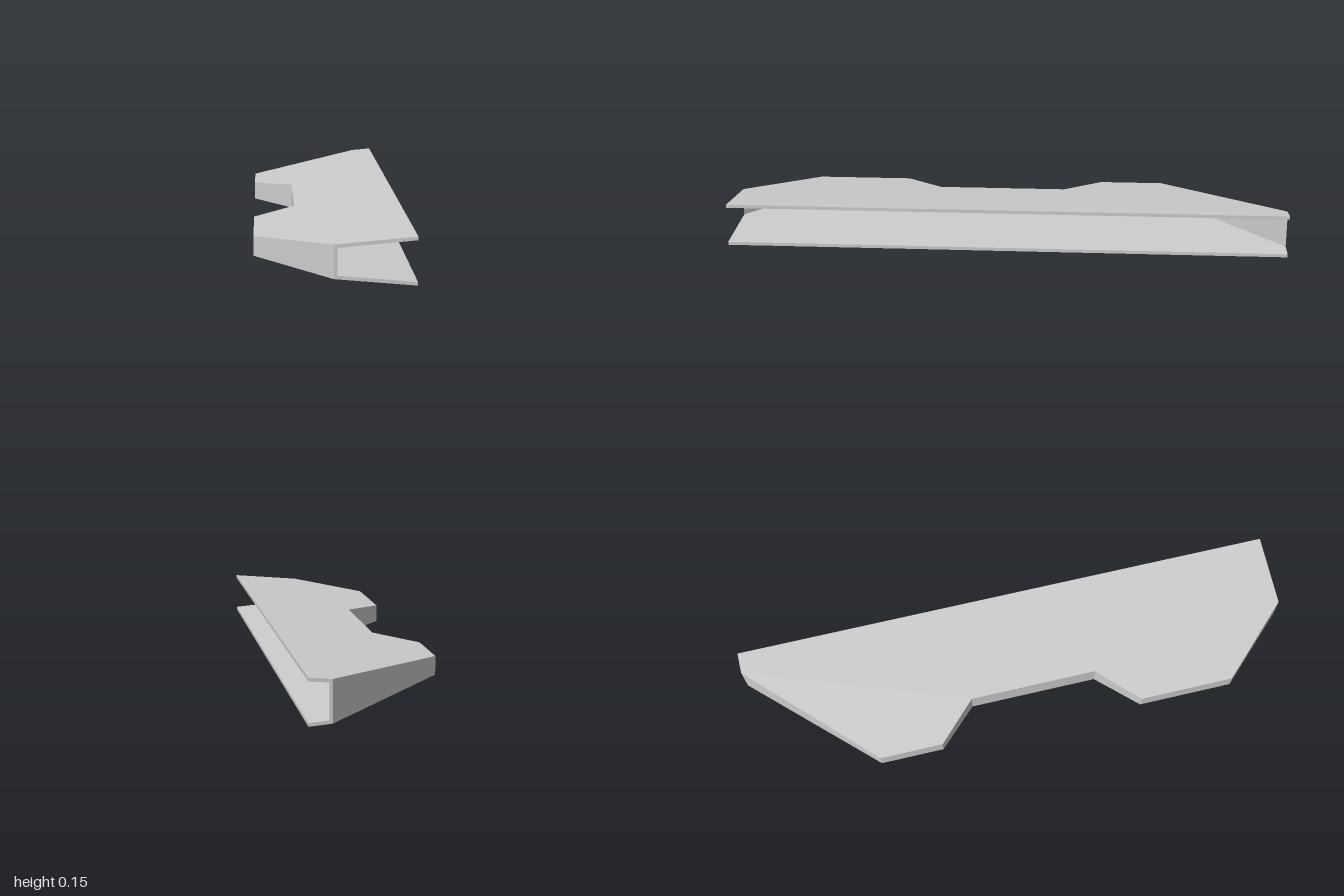
import * as THREE from 'three';

const HEIGHT = 0.152, SKIN = 0.0115, WALL = 0.011;

// Stepped edge of the hull in plan, as [x, z] from back to front
const EDGE = [
  [0.175, -1], [-0.25, -0.57], [-0.25, -0.34], [-0.11, -0.2],
  [-0.11, 0.265], [-0.25, 0.405], [-0.25, 0.75], [-0.006, 1],
];

// The hull tapers towards -x: height of the underside at a given x
const under = (x) => 0.044 * (0.25 - x) / 0.5;
const over = (x) => HEIGHT - under(x);

// Upright prism over a plan outline, with sloping bottom and top
function slab(name, outline, low, high, material) {
  const shape = new THREE.Shape(outline.map(([x, z]) => new THREE.Vector2(x, -z)));
  const geometry = new THREE.ExtrudeGeometry(shape, { depth: 1, bevelEnabled: false });
  geometry.rotateX(-Math.PI / 2);
  const p = geometry.attributes.position;
  for (let i = 0; i < p.count; i++) {
    const x = p.getX(i);
    p.setY(i, THREE.MathUtils.lerp(low(x), high(x), p.getY(i)));
  }
  geometry.computeVertexNormals();
  const mesh = new THREE.Mesh(geometry, material);
  mesh.name = name;
  return mesh;
}

export function createModel() {
  const group = new THREE.Group();
  group.name = 'taperedHull';
  const material = new THREE.MeshStandardMaterial({ color: 0xcccccc, flatShading: true });

  // Two plates that lean towards each other, open along the +x side
  const plan = [...EDGE, [0.25, 1], [0.25, -1]];
  group.add(slab('bottomPlate', plan, under, (x) => under(x) + SKIN, material));
  group.add(slab('topPlate', plan, (x) => over(x) - SKIN, over, material));

  // Thin wall that follows the stepped edge and joins the plates
  const inner = EDGE.map(([x, z]) => [x + WALL, z]).reverse();
  group.add(slab('edgeWall', [...EDGE, ...inner],
    (x) => under(x) + SKIN, (x) => over(x) - SKIN, material));

  return group;
}
